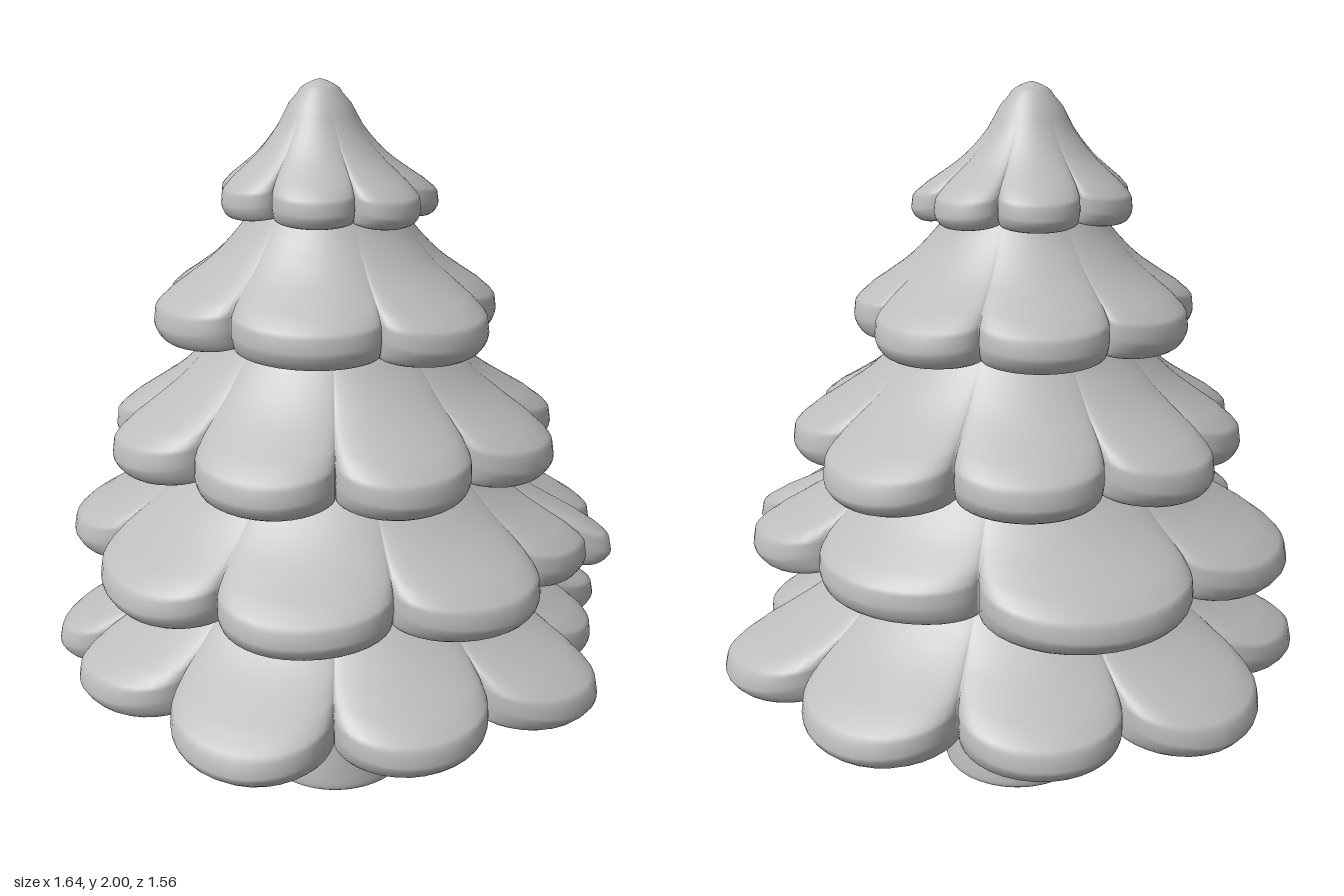
import * as THREE from 'three';

// Bough tiers from top to bottom: centre, rim height, neck, rim thickness, notch depth, lobe tips [x, z]
const TIERS = [
  { name: 'topTier', c: [-0.055, -0.025], rim: 1.68, neckY: 1.963, neckR: 0.06, thick: 0.035, notch: 0.22,
    tips: [[-.04, -.31], [.19, -.2], [.26, 0], [.12, .23], [-.12, .24], [-.32, .03], [-.28, -.2]] },
  { name: 'upperTier', c: [-0.04, -0.01], rim: 1.385, neckY: 1.72, neckR: 0.16, thick: 0.05, notch: 0.175,
    tips: [[-.04, -.49], [.32, -.35], [.42, .02], [.24, .4], [-.18, .42], [-.51, .04], [-.39, -.33]] },
  { name: 'middleTier', c: [-0.03, -0.01], rim: 1.04, neckY: 1.42, neckR: 0.25, thick: 0.05, notch: 0.23,
    tips: [[.02, -.625], [.46, -.46], [.6, .01], [.48, .37], [.07, .6], [-.34, .52], [-.64, .11],
      [-.61, -.2], [-.42, -.51]] },
  { name: 'lowerTier', c: [-0.02, 0], rim: 0.73, neckY: 1.09, neckR: 0.34, thick: 0.05, notch: 0.21,
    tips: [[-.18, -.72], [.46, -.45], [.73, .04], [.71, .28], [.61, .34], [.3, .655], [-.29, .675],
      [-.65, .37], [-.73, -.3]] },
  { name: 'bottomTier', c: [-0.01, 0], rim: 0.415, neckY: 0.78, neckR: 0.37, thick: 0.05, notch: 0.26,
    tips: [[-.01, -.785], [.51, -.62], [.82, -.13], [.69, .22], [.56, .57], [.05, .775], [-.43, .7],
      [-.77, .19], [-.82, -.12], [-.5, -.67]] },
];

const spline = (points, n) => new THREE.SplineCurve(points.map(p => new THREE.Vector2(...p))).getPoints(n);

// Shared bough section: [reach from neck to rim, height], crown first, then under the rim and back in
const SECTION = spline([
  [-1, 1.14], [-.5, 1.1], [0, 1], [.25, .7], [.5, .46], [.75, .29], [.92, .17], [1, 0],
  [.95, -.8], [.85, -1], [.65, -.6], [.3, .1], [0, .25], [-.95, .3],
], 39);

// Ring of rounded lobes as [angle, radius]; wider gaps between tips get deeper notches
function lobedRing({ tips, c: [cx, cz], notch }, steps = 10) {
  const polar = tips.map(([x, z]) => [Math.atan2(z - cz, x - cx), Math.hypot(x - cx, z - cz)]);
  const ring = [];
  polar.forEach(([a0, r0], i) => {
    let [a1, r1] = polar[(i + 1) % polar.length];
    while (a1 < a0) a1 += Math.PI * 2;
    const half = (a1 - a0) / 2;
    const valley = (r0 + r1) / 2 * (1 - notch * Math.sqrt(a1 - a0));
    for (let k = 0; k < steps * 2; k++) {
      const t = k / steps * Math.PI / 2;
      const [tip, turn] = k < steps ? [r0, Math.sin(t)] : [r1, 2 - Math.sin(t)];
      ring.push([a0 + half * turn, valley + (tip - valley) * Math.pow(Math.abs(Math.cos(t)), 1.25)]);
    }
  });
  return ring;
}

function tierGeometry(tier) {
  const { c, rim, neckY, neckR, thick } = tier;
  const ring = lobedRing(tier);
  const n = ring.length;
  const mean = ring.reduce((s, p) => s + p[1], 0) / n;
  const max = Math.max(...ring.map(p => p[1]));
  const pos = [], index = [];
  SECTION.forEach(({ x: f, y: v }, j) => {
    const fade = Math.pow(THREE.MathUtils.clamp(f, 0, 1), 1.4);
    ring.forEach(([a, edge], i) => {
      // lobes fade out toward the neck, and notches sit higher than tips
      const R = THREE.MathUtils.lerp(mean, edge, fade);
      const r = f < 0 ? Math.max(0, neckR * (1 + f)) : neckR + (R - neckR) * f;
      const y0 = rim + (max - R) * 0.3;
      const y = y0 + (v > 0 ? v * (neckY - y0) : v * thick);
      pos.push(c[0] + r * Math.cos(a), y, c[1] + r * Math.sin(a));
      if (j < SECTION.length - 1) {
        const p = j * n + i, q = j * n + (i + 1) % n;
        index.push(p, q, p + n, q, q + n, p + n);
      }
    });
  });
  const g = new THREE.BufferGeometry();
  g.setAttribute('position', new THREE.Float32BufferAttribute(pos, 3));
  g.setIndex(index);
  g.computeVertexNormals();
  return g;
}

export function createModel() {
  const model = new THREE.Group();
  model.name = 'pineTree';
  const grey = new THREE.MeshStandardMaterial({ color: 0xbcbcbc });
  grey.name = 'lightGrey';

  const add = (name, geometry) => {
    const mesh = new THREE.Mesh(geometry, grey);
    mesh.name = name;
    model.add(mesh);
    return mesh;
  };

  // Trunk: waisted side with a softened foot, and a flat base
  const side = spline([
    [.207, 0], [.216, .012], [.214, .05], [.202, .15], [.192, .25], [.196, .36], [.215, .45], [.24, .52],
  ], 30);
  add('trunk', new THREE.LatheGeometry(side, 64)).position.set(-0.025, 0, 0.01);
  const base = add('trunkBase', new THREE.CircleGeometry(0.207, 64));
  base.rotation.x = Math.PI / 2;
  base.position.set(-0.025, 0, 0.01);

  // Boughs
  for (const tier of TIERS) add(tier.name, tierGeometry(tier));
  return model;
}
